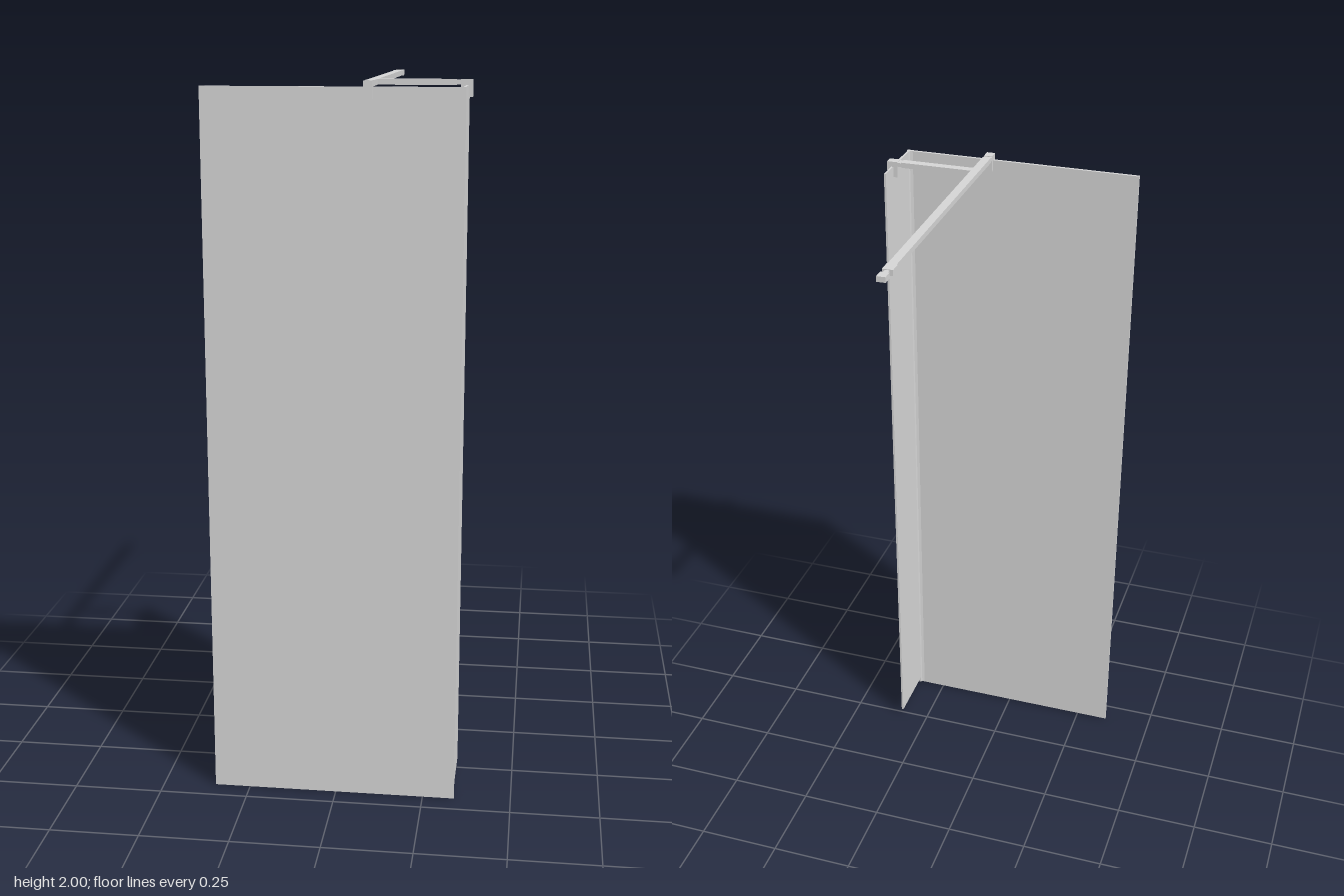
import * as THREE from 'three';

export function createModel() {
  const model = new THREE.Group();
  model.name = 'showerScreen';
  const grey = new THREE.MeshStandardMaterial({ color: 0xd5d5d5 });
  grey.name = 'light grey';

  // Box given by its limits on each axis
  function box(name, [x0, x1], [y0, y1], [z0, z1], parent = model) {
    const mesh = new THREE.Mesh(new THREE.BoxGeometry(x1 - x0, y1 - y0, z1 - z0), grey);
    mesh.position.set((x0 + x1) / 2, (y0 + y1) / 2, (z0 + z1) / 2);
    mesh.name = name;
    parent.add(mesh);
  }

  // Screen panels
  box('frontPanel', [-0.351, 0.325], [0.004, 1.985], [0.432, 0.44]);
  box('bottomSeal', [-0.351, 0.34], [0, 0.004], [0.432, 0.44]);
  box('sidePanel', [0.332, 0.338], [0.025, 1.985], [0.235, 0.425]);

  // Corner strip joining the panels, with a chamfered inner edge
  const corner = new THREE.Shape([
    [0.322, -0.441], [0.34, -0.441], [0.34, -0.431], [0.338, -0.431],
    [0.338, -0.422], [0.332, -0.422], [0.33, -0.429], [0.322, -0.432],
  ].map(([x, y]) => new THREE.Vector2(x, y)));
  const strip = new THREE.Mesh(
    new THREE.ExtrudeGeometry(corner, { depth: 1.981, bevelEnabled: false }), grey);
  strip.rotation.x = -Math.PI / 2;
  strip.position.y = 0.004;
  strip.name = 'cornerStrip';
  model.add(strip);

  // Long support bar with its wall fitting
  const barX = [0.077, 0.101], barY = [1.985, 2], jointY = [1.987, 1.998];
  box('longBar', barX, barY, [-0.372, 0.41]);
  box('longBarJoint', barX, jointY, [0.41, 0.421]);
  box('barSleeve', [0.074, 0.103], [1.984, 2], [-0.405, -0.37]);
  box('wallNeck', [0.083, 0.095], jointY, [-0.424, -0.404]);
  box('wallBlock', barX, barY, [-0.45, -0.422]);

  // Short cross bar
  const crossZ = [0.294, 0.318];
  box('crossBar', [0.101, 0.307], barY, crossZ);
  box('crossBarJoint', [0.307, 0.319], jointY, crossZ);

  // Clamps straddling the top edges of the panels
  const legY = [1.955, 1.985];
  const frontClamp = new THREE.Group();
  frontClamp.name = 'frontClamp';
  box('clampTop', barX, barY, [0.42, 0.45], frontClamp);
  box('clampInnerLeg', barX, legY, [0.42, 0.431], frontClamp);
  box('clampOuterLeg', barX, legY, [0.441, 0.45], frontClamp);
  const sideClamp = new THREE.Group();
  sideClamp.name = 'sideClamp';
  box('clampTop', [0.319, 0.35], barY, crossZ, sideClamp);
  box('clampInnerLeg', [0.319, 0.331], legY, crossZ, sideClamp);
  box('clampOuterLeg', [0.339, 0.35], legY, crossZ, sideClamp);
  model.add(frontClamp, sideClamp);

  return model;
}
